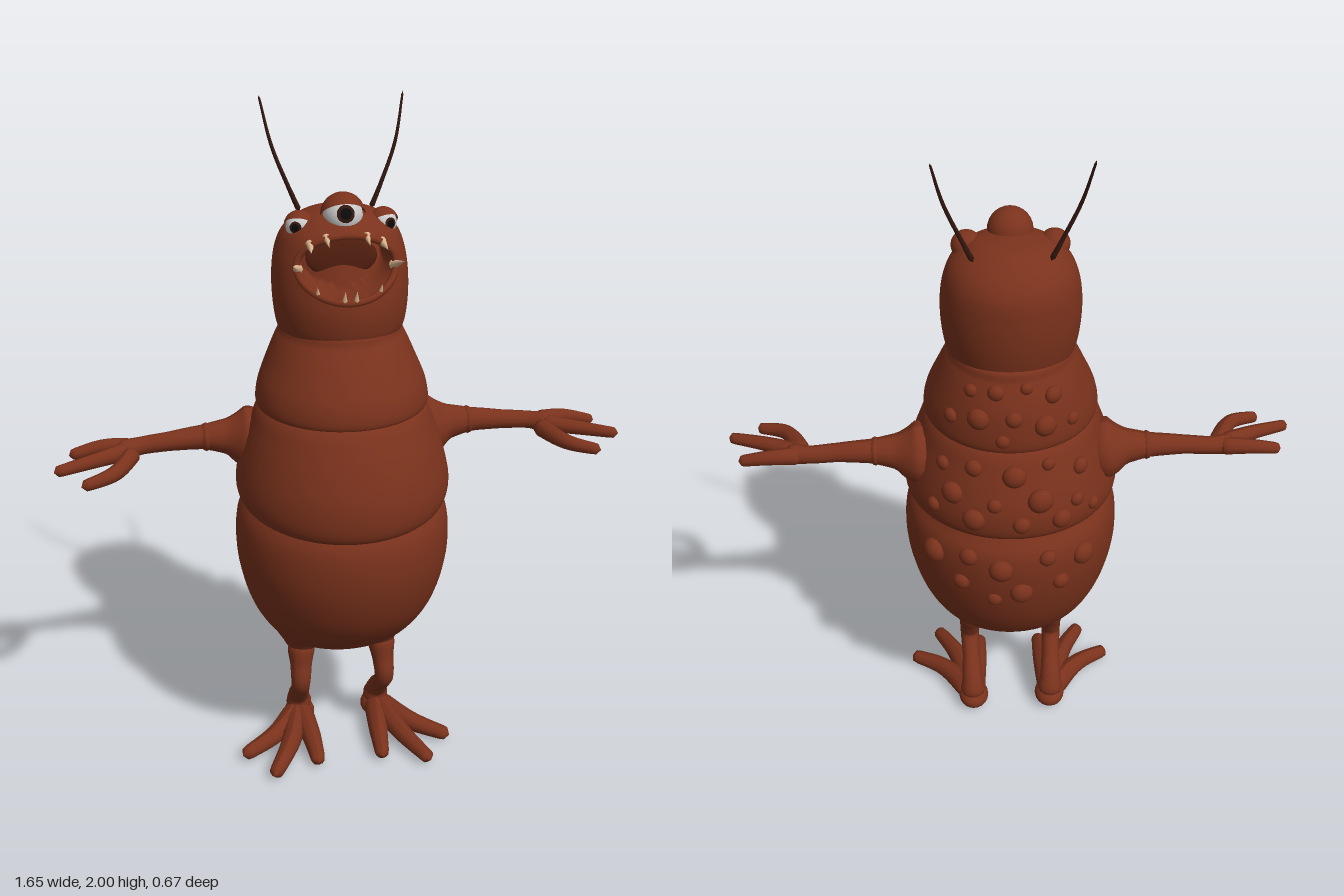
import * as THREE from 'three';
import { ParametricGeometry } from 'three/addons/geometries/ParametricGeometry.js';

const skin = new THREE.MeshStandardMaterial({ color: 0x7a321c });
const mouthSkin = new THREE.MeshStandardMaterial({ color: 0x54200f });
const lidSkin = new THREE.MeshStandardMaterial({ color: 0x7a321c, side: THREE.DoubleSide });
const white = new THREE.MeshStandardMaterial({ color: 0xd8d8d4 });
const black = new THREE.MeshStandardMaterial({ color: 0x0c0a0a });
const ivory = new THREE.MeshStandardMaterial({ color: 0xd9b48c });
const dark = new THREE.MeshStandardMaterial({ color: 0x33170f });
const V = (x, y, z) => new THREE.Vector3(x, y, z);

function add(parent, name, geometry, material) {
  const mesh = new THREE.Mesh(geometry, material);
  mesh.name = name;
  parent.add(mesh);
  return mesh;
}

// Body segments as rings: [y, half width, front z, back z, tilt]
const SEGMENTS = {
  abdomen: [[.37, .01, 0, -.02], [.372, .09, .06, -.08], [.395, .17, .13, -.14], [.45, .23, .2, -.205],
    [.55, .282, .275, -.262], [.68, .313, .32, -.3], [.8, .314, .325, -.31], [.87, .288, .295, -.29],
    [.92, .23, .23, -.23], [.94, .01, .01, -.01]],
  thorax: [[.92, .01, .01, -.01], [.9, .2, .2, -.2, -.08], [.88, .27, .285, -.27, -.08], [.885, .3, .318, -.295, -.08],
    [.93, .312, .332, -.305, -.06], [1, .3, .325, -.3, -.03], [1.1, .268, .285, -.27], [1.17, .235, .24, -.235],
    [1.2, .16, .16, -.16], [1.21, .01, .01, -.01]],
  chest: [[1.2, .01, .01, -.01], [1.175, .15, .15, -.15], [1.165, .225, .225, -.22], [1.175, .247, .247, -.24],
    [1.23, .24, .24, -.242], [1.3, .212, .205, -.232], [1.37, .18, .16, -.205], [1.41, .15, .13, -.18],
    [1.43, .01, -.02, -.04]],
  head: [[1.42, .01, -.02, -.04], [1.395, .12, .09, -.15], [1.386, .165, .135, -.18], [1.4, .18, .15, -.19],
    [1.47, .19, .158, -.203], [1.55, .19, .145, -.207], [1.62, .178, .125, -.2], [1.67, .152, .1, -.17],
    [1.71, .095, .05, -.115], [1.725, .01, -.02, -.04]],
};

// Smooth surface through the rings; u = 0.25 is the back, u = 0.75 the front
function segmentSurface(rings) {
  const outline = new THREE.SplineCurve(rings.map(r => new THREE.Vector2(r[1], r[0])));
  const depth = new THREE.SplineCurve(rings.map(r => new THREE.Vector2((r[2] + r[3]) / 2, (r[2] - r[3]) / 2)));
  const tilt = new THREE.SplineCurve(rings.map(r => new THREE.Vector2(r[4] || 0, 0)));
  const surface = (u, v, target) => {
    const a = u * Math.PI * 2, o = outline.getPoint(v), d = depth.getPoint(v);
    const z = d.x - Math.sin(a) * d.y;
    return target.set(Math.cos(a) * o.x, o.y + tilt.getPoint(v).x * z, z);
  };
  // Parameter v at a given height
  surface.at = y => {
    let best = 0.3, gap = 9;
    for (let v = 0.25; v <= 1; v += 0.004) {
      const g = Math.abs(outline.getPoint(v).y - y);
      if (g < gap) { gap = g; best = v; }
    }
    return best;
  };
  // Point on the front at a given x and height
  surface.front = (x, y) => {
    const v = surface.at(y), o = outline.getPoint(v), d = depth.getPoint(v);
    return V(x, y, d.x + d.y * Math.sqrt(Math.max(0, 1 - (x / o.x) ** 2)));
  };
  return surface;
}

// Tube of varying radius with rounded ends
function limb(points, radii, steps = 28, sides = 12) {
  const curve = new THREE.CatmullRomCurve3(points.map(p => V(...p)));
  const geometry = new THREE.TubeGeometry(curve, steps, 1, sides);
  const pos = geometry.attributes.position, v = V(), length = curve.getLength();
  for (let i = 0; i <= steps; i++) {
    const u = i / steps, c = curve.getPointAt(u);
    const t = curve.getUtoTmapping(u) * (radii.length - 1);
    const k = Math.min(Math.floor(t), radii.length - 2);
    let r = THREE.MathUtils.lerp(radii[k], radii[k + 1], t - k);
    const end = Math.min(u, 1 - u) * length;
    if (end < r) r *= Math.sqrt(Math.max(0, 1 - (1 - end / r) ** 2));
    for (let j = 0; j <= sides; j++) {
      const n = i * (sides + 1) + j;
      v.fromBufferAttribute(pos, n).sub(c).multiplyScalar(r).add(c);
      pos.setXYZ(n, v.x, v.y, v.z);
    }
  }
  geometry.computeVertexNormals();
  return geometry;
}

function spike(parent, name, base, dir, length, radius) {
  const tooth = add(parent, name, new THREE.ConeGeometry(radius, length, 10), ivory);
  const d = V(...dir).normalize();
  tooth.quaternion.setFromUnitVectors(V(0, 1, 0), d);
  tooth.position.copy(base).addScaledVector(d, length * 0.35);
}

function eye(parent, name, center, radius, look) {
  const g = new THREE.Group();
  g.name = name;
  g.position.set(...center);
  parent.add(g);
  add(g, 'eyeball', new THREE.SphereGeometry(radius, 28, 20), white);
  const gaze = V(...look).normalize();
  [['iris', dark, .46, 1.012], ['pupil', black, .28, 1.03]].forEach(([n, mat, angle, s]) => {
    add(g, n, new THREE.SphereGeometry(radius * s, 20, 8, 0, Math.PI * 2, 0, angle), mat)
      .quaternion.setFromUnitVectors(V(0, 1, 0), gaze);
  });
  // Hood over the top and back
  add(g, 'eyelid', new THREE.SphereGeometry(radius * 1.14, 28, 16, 0, Math.PI * 2, 0, Math.PI * .5), lidSkin)
    .quaternion.setFromUnitVectors(V(0, 1, 0), V(look[0] * -.4, .75, -.66).normalize());
}

export function createModel() {
  const model = new THREE.Group();
  model.name = 'monster';
  const surfaces = {};
  for (const name in SEGMENTS) surfaces[name] = segmentSurface(SEGMENTS[name]);
  for (const name of ['abdomen', 'thorax', 'chest'])
    add(model, name, new ParametricGeometry(surfaces[name], 64, 48), skin);

  // Head with a hollow mouth
  const head = new THREE.Group();
  head.name = 'head';
  model.add(head);
  const face = surfaces.head;
  add(head, 'skull', new ParametricGeometry((u, v, target) => {
    face(u, v, target);
    if (target.z > 0 && v > .3) {
      const e = (target.x / .135) ** 2 + ((target.y - 1.588) / .084) ** 2;
      target.z -= .13 * (1 - THREE.MathUtils.smoothstep(e, .72, 1.05));
    }
  }, 128, 96), skin);
  const rim = [];
  for (let i = 0; i < 32; i++) {
    const a = i / 32 * Math.PI * 2;
    rim.push(face.front(Math.cos(a) * .136, 1.588 + Math.sin(a) * .085));
  }
  add(head, 'lips', new THREE.TubeGeometry(new THREE.CatmullRomCurve3(rim, true), 80, .01, 8, true), skin);
  const throat = add(head, 'throat', new THREE.SphereGeometry(1, 24, 16), mouthSkin);
  throat.scale.set(.1, .06, .012);
  throat.position.set(0, 1.588, 0);

  eye(head, 'middleEye', [0, 1.712, .025], .054, [0, .3, 1]);
  for (const s of [1, -1]) {
    eye(head, s > 0 ? 'leftEye' : 'rightEye', [s * .116, 1.68, 0], .037, [s * .45, .1, 1]);
    // Teeth: [x, y, direction, length, radius]
    [[.055, 1.667, [0, -.25, 1], .055, .011], [.098, 1.648, [.1, -.1, 1], .065, .013],
      [.134, 1.585, [.35, .45, 1], .065, .014], [.085, 1.522, [.1, 1, .5], .038, .009],
      [.016, 1.506, [0, 1, .4], .045, .01]].forEach(([x, y, d, l, r]) =>
      spike(head, 'tooth', face.front(s * x, y), [s * d[0], d[1], d[2]], l, r));
    add(head, 'antenna', limb([[s * .1, 1.69, -.105], [s * .13, 1.76, -.112], [s * .172, 1.87, -.13],
      [s * .2, 2, -.17]], [.008, .006, .005, .003], 30, 8), dark);

    // Arm with a shoulder cone and three fingers
    const arm = new THREE.Group();
    arm.name = s > 0 ? 'leftArm' : 'rightArm';
    model.add(arm);
    add(arm, 'upperArm', limb([[s * .2, 1.04, -.05], [s * .28, 1.04, -.055], [s * .33, 1.045, -.056],
      [s * .4, 1.047, -.056], [s * .5, 1.042, -.052], [s * .58, 1.035, -.05], [s * .65, 1.028, -.03]],
    [.12, .09, .053, .036, .028, .026, .034], 40), skin);
    add(arm, 'elbowFold', new THREE.TorusGeometry(.03, .012, 8, 20), skin).position.set(s * .39, 1.047, -.056);
    arm.children[1].rotation.y = Math.PI / 2;
    [[[.6, 1.033, -.05], [.69, 1.035, -.06], [.785, 1.018, -.052]],
      [[.61, 1.03, -.035], [.7, 1.028, .01], [.825, 1.02, .06]],
      [[.6, 1.025, -.03], [.66, 1.015, .085], [.75, 1.002, .128]]].forEach(f =>
      add(arm, 'finger', limb(f.map(p => [s * p[0], p[1], p[2]]), [.028, .022, .016], 20, 10), skin));

    // Bent leg with splayed toes
    const leg = new THREE.Group();
    leg.name = s > 0 ? 'leftLeg' : 'rightLeg';
    model.add(leg);
    add(leg, 'hip', limb([[s * .105, .5, -.01], [s * .115, .42, -.01], [s * .122, .36, -.01], [s * .125, .31, 0]],
      [.14, .105, .062, .04], 24, 20), skin);
    add(leg, 'shin', limb([[s * .125, .36, -.01], [s * .13, .28, .015], [s * .133, .22, .028], [s * .13, .16, -.02],
      [s * .128, .1, -.075], [s * .125, .04, -.09]], [.05, .034, .03, .028, .034, .05], 36), skin);
    const heel = add(leg, 'heel', new THREE.SphereGeometry(1, 20, 14), skin);
    heel.scale.set(.048, .036, .055);
    heel.position.set(s * .125, .037, -.08);
    [[[.13, .045, -.08], [.22, .038, .04], [.33, .024, .115]],
      [[.13, .045, -.08], [.175, .042, .09], [.245, .024, .23]],
      [[.125, .045, -.08], [.108, .042, .07], [.1, .024, .19]]].forEach(t =>
      add(leg, 'toe', limb(t.map(p => [s * p[0], p[1], p[2]]), [.038, .03, .021], 22, 10), skin));
  }

  // Warts on the back: [offset around the body, height, radius]
  const warts = {
    chest: [[-.1, 1.34, .02], [-.04, 1.35, .024], [.03, 1.36, .018], [.09, 1.33, .026], [-.13, 1.25, .022],
      [-.07, 1.27, .032], [0, 1.28, .024], [.06, 1.25, .032], [.12, 1.24, .02], [-.02, 1.21, .02]],
    thorax: [[-.13, 1.1, .022], [-.07, 1.12, .026], [0, 1.11, .034], [.06, 1.13, .02], [.12, 1.09, .026],
      [-.1, 1.03, .034], [-.03, 1.02, .022], [.04, 1.03, .038], [.1, 1.0, .022], [-.13, .96, .022],
      [-.06, .96, .034], [.01, .95, .026], [.07, .95, .03], [.13, .95, .02]],
    abdomen: [[-.13, .8, .038], [-.07, .83, .028], [-.02, .8, .036], [.05, .83, .026], [.11, .8, .036],
      [-.08, .73, .026], [.01, .71, .034], [.07, .73, .026], [-.03, .68, .022]],
  };
  for (const name in warts) for (const [offset, y, r] of warts[name]) {
    const wart = add(model, 'wart', new THREE.SphereGeometry(r, 14, 10), skin);
    surfaces[name](.25 + offset, surfaces[name].at(y), wart.position);
    wart.lookAt(0, wart.position.y, 0);
    wart.scale.z = .7;
  }
  return model;
}
